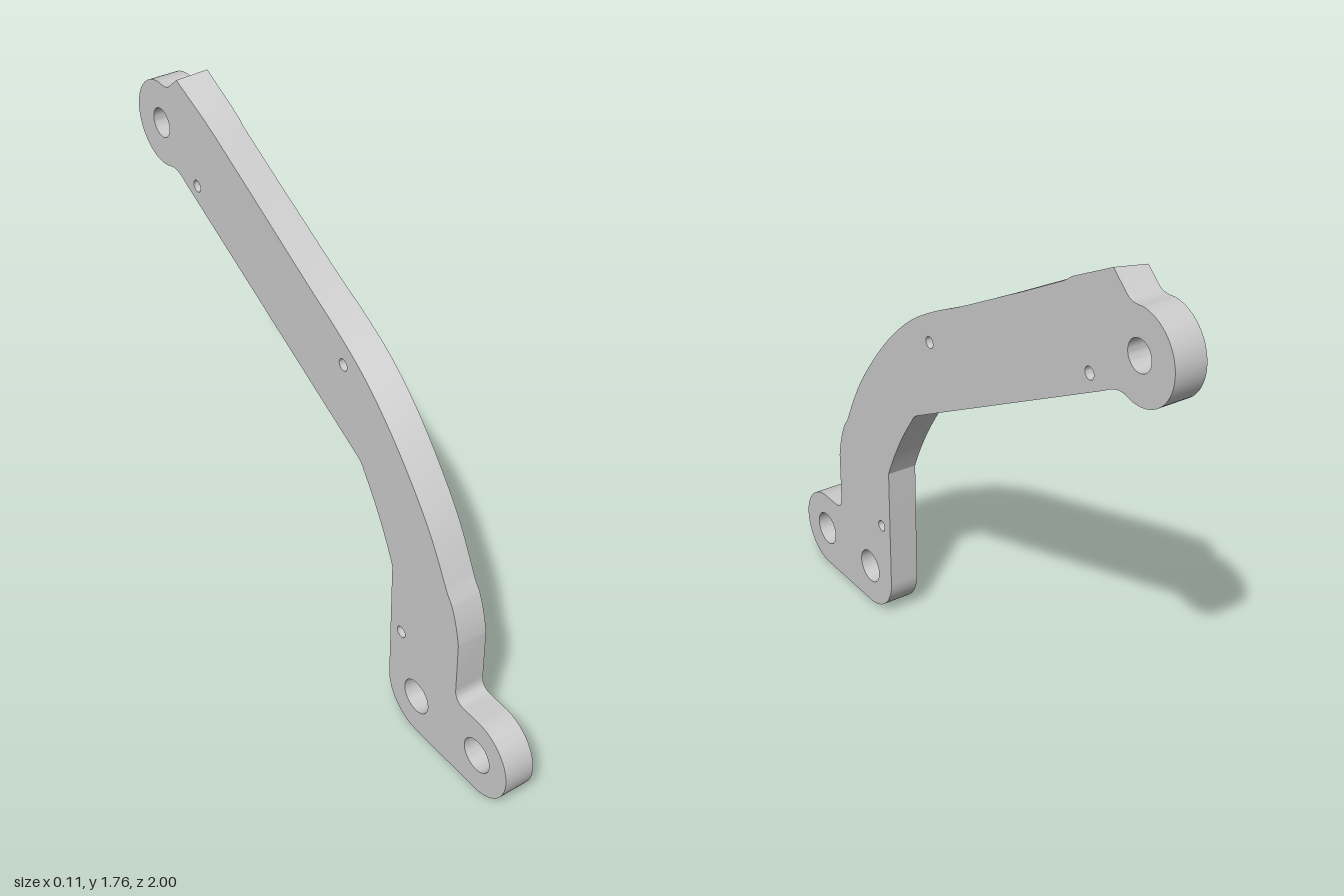
import * as THREE from 'three';
import { toCreasedNormals } from 'three/addons/utils/BufferGeometryUtils.js';

const THICK = 0.106;
const V = (x, y) => new THREE.Vector2(x, y);

export function createModel() {
  const group = new THREE.Group();
  group.name = 'bracketArm';

  // Curved upper edge, running from the post to the straight arm
  const upper = new THREE.SplineCurve([
    V(-0.68, 0.68), V(-0.585, 0.85), V(-0.46, 1.01), V(-0.345, 1.13),
    V(-0.23, 1.225), V(-0.1, 1.305), V(0.03, 1.375), V(0.317, 1.535),
  ]).getPoints(32);
  const crease = V(0.56, 1.675), peak = V(0.733, 1.764);

  // Side profile: x runs to the back, y up
  const s = new THREE.Shape();
  s.moveTo(-0.855, 0);
  s.lineTo(-0.56, 0);
  s.absarc(-0.56, 0.145, 0.145, -Math.PI / 2, 0, false);
  s.lineTo(-0.415, 0.59);
  s.quadraticCurveTo(-0.355, 0.735, -0.26, 0.865);
  s.quadraticCurveTo(-0.25, 0.886, -0.225, 0.899);
  s.lineTo(0.72, 1.4);
  s.quadraticCurveTo(0.765, 1.43, 0.8, 1.425);
  s.absarc(0.855, 1.558, 0.143, -1.96, Math.PI / 2, false);
  s.quadraticCurveTo(0.82, 1.695, 0.8, 1.706);
  s.lineTo(peak.x, peak.y);
  s.lineTo(crease.x, crease.y);
  s.lineTo(0.53, 1.652);
  [...upper].reverse().forEach((p) => s.lineTo(p.x, p.y));
  s.lineTo(-0.705, 0.645);
  s.quadraticCurveTo(-0.735, 0.58, -0.745, 0.51);
  s.lineTo(-0.745, 0.33);
  s.quadraticCurveTo(-0.745, 0.285, -0.79, 0.285);
  s.lineTo(-0.855, 0.285);
  s.absarc(-0.857, 0.1425, 0.1425, Math.PI / 2, Math.PI * 1.5, false);

  // Bolt holes and small pin holes
  for (const [x, y, r] of [
    [-0.86, 0.145, 0.06], [-0.557, 0.145, 0.06], [0.855, 1.56, 0.049],
    [-0.47, 0.357, 0.02], [-0.15, 1.19, 0.02], [0.65, 1.423, 0.02],
  ]) s.holes.push(new THREE.Path().absarc(x, y, r, 0, Math.PI * 2, true));

  const geo = new THREE.ExtrudeGeometry(s, { depth: THICK, bevelEnabled: false, curveSegments: 20 });
  geo.translate(0, 0, -THICK / 2);

  // Slant the upper edge across the thickness and lean the plate slightly
  const pos = geo.attributes.position;
  const q = new THREE.Vector2();
  for (let i = 0; i < pos.count; i++) {
    q.set(pos.getX(i), pos.getY(i));
    let z = pos.getZ(i);
    const same = (p) => p.distanceTo(q) < 1e-4;
    if (z > 0) {
      const k = upper.findIndex(same);
      if (k >= 0) {
        const push = 0.015 * Math.sin((Math.PI * k) / (upper.length - 1));
        q.x -= push * 0.65;
        q.y += push * 0.76;
      }
    } else if (same(peak)) q.set(0.746, 1.752);
    else if (same(crease)) q.set(0.6, 1.687);
    z += 0.0035 * q.x;
    pos.setXYZ(i, q.x, q.y, z);
  }
  geo.rotateY(Math.PI / 2);

  const plate = new THREE.Mesh(
    toCreasedNormals(geo, 0.35),
    new THREE.MeshStandardMaterial({ color: 0xcccccc }),
  );
  plate.name = 'armPlate';
  group.add(plate);
  return group;
}
